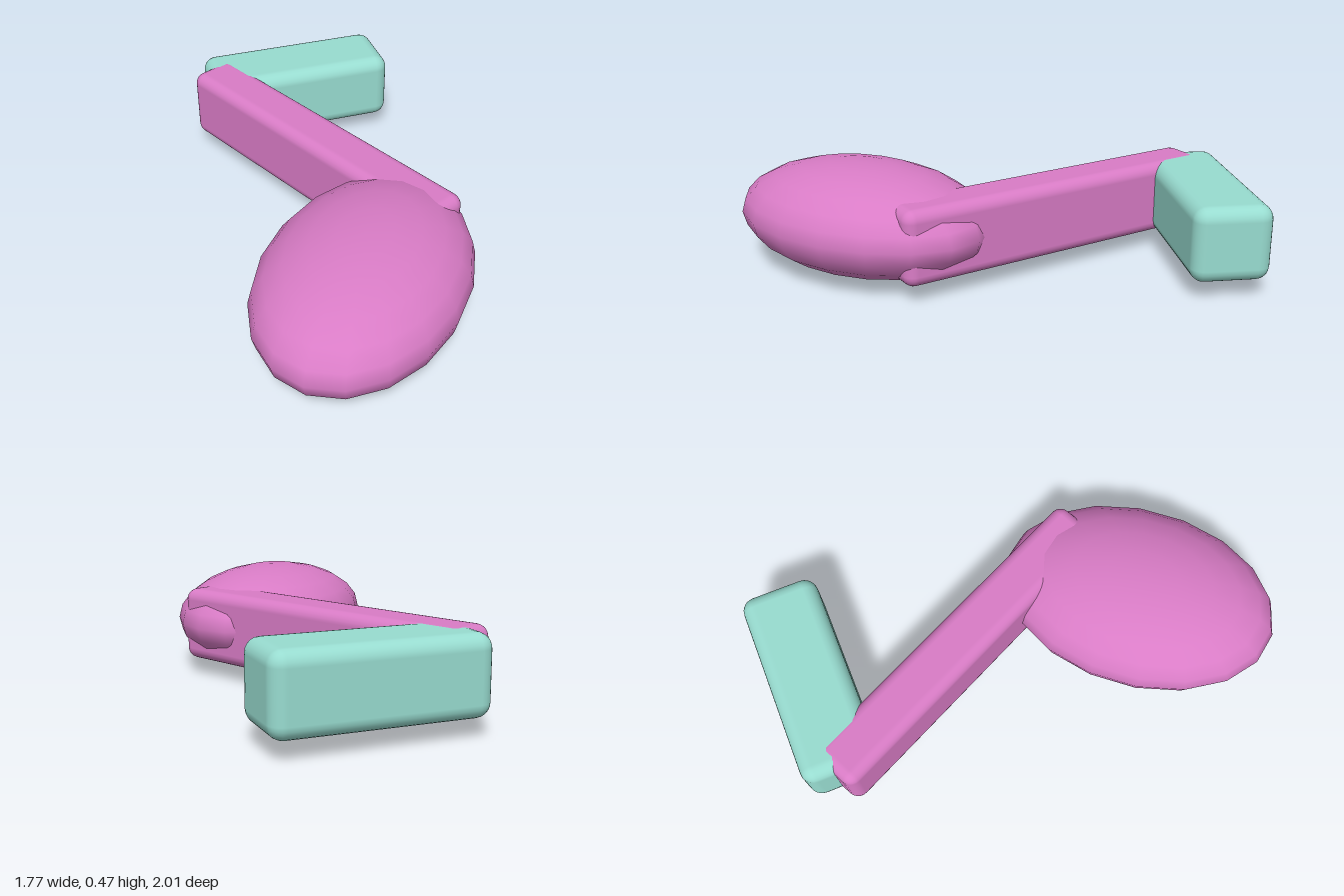
import * as THREE from 'three';
import { RoundedBoxGeometry } from 'three/addons/geometries/RoundedBoxGeometry.js';

const MID_Y = 0.233;
const TILT = THREE.MathUtils.degToRad(25);

export function createModel() {
  const model = new THREE.Group();
  model.name = 'musicNote';

  const pink = new THREE.MeshStandardMaterial({ color: 0xd97cc6 });
  pink.name = 'pink';
  const mint = new THREE.MeshStandardMaterial({ color: 0x98dcd0 });
  mint.name = 'mint';

  const add = (name, geometry, material, x, z, turn = 0) => {
    const mesh = new THREE.Mesh(geometry, material);
    mesh.name = name;
    mesh.position.set(x, MID_Y, z);
    mesh.rotation.y = turn;
    model.add(mesh);
  };

  // Oval note head, squashed and turned
  const oval = new THREE.SphereGeometry(1, 18, 12);
  oval.scale(0.605, 0.233, 0.41);
  add('noteHead', oval, pink, -0.31, 0.555, TILT);

  // Long stem running back from the head
  add('stem', new RoundedBoxGeometry(0.225, 0.322, 1.52, 3, 0.05), pink, 0.093, -0.15);

  // Slanted flag at the end of the stem
  add('flag', new RoundedBoxGeometry(0.86, 0.319, 0.33, 3, 0.06), mint, 0.447, -0.696, -TILT);

  return model;
}
